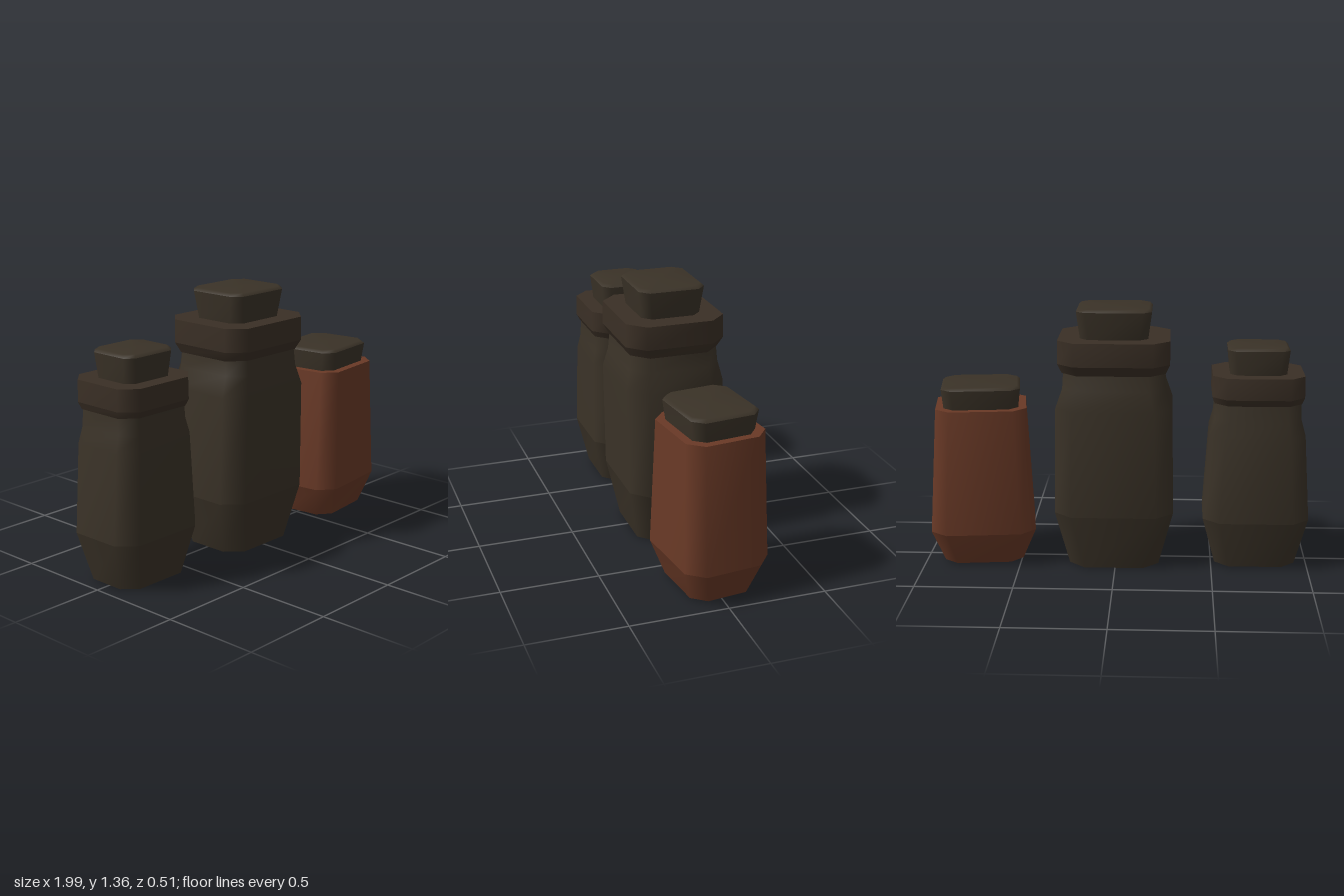
import * as THREE from 'three';
import { mergeGeometries } from 'three/addons/utils/BufferGeometryUtils.js';

// Chamfered rectangle, eight points, at height y
function octagon([y, hx, hz, c]) {
  const a = hx - c, b = hz - c;
  return [[hx, b], [a, hz], [-a, hz], [-hx, b], [-hx, -b], [-a, -hz], [a, -hz], [hx, -b]]
    .map(([x, z]) => [x, y, z]);
}

// Smooth loft through rings listed from bottom to top
function loft(rings) {
  const pos = rings.flatMap((r) => octagon(r).flat());
  const index = [];
  for (let r = 0; r < rings.length - 1; r++) {
    for (let i = 0; i < 8; i++) {
      const j = (i + 1) % 8;
      const a = r * 8 + i, b = r * 8 + j;
      index.push(a, a + 8, b, b, a + 8, b + 8);
    }
  }
  const g = new THREE.BufferGeometry();
  g.setAttribute('position', new THREE.Float32BufferAttribute(pos, 3));
  g.setIndex(index);
  g.computeVertexNormals();
  return g;
}

// Each section is smooth inside, with a hard edge where two sections meet
function part(name, material, sections) {
  const mesh = new THREE.Mesh(mergeGeometries(sections.map(loft)), material);
  mesh.name = name;
  return mesh;
}

const centre = (y) => [y, 0, 0, 0];

// Tapered stopper with a softened top edge
function stopper(material, y0, y1, bottom, top, c) {
  const low = [y0, ...bottom, c], high = [y1 - 0.015, ...top, c];
  return part('stopper', material, [
    [centre(y0), low],
    [low, high],
    [high, [y1, top[0] - 0.015, top[1] - 0.015, c], centre(y1)],
  ]);
}

// Bottle with a sloped foot, rounded shoulder, collar and stopper
function bottle(name, mats, { foot, belly, shoulder, neckLow, neck, collarLow, collar, collarTop, cork }) {
  const group = new THREE.Group();
  group.name = name;
  group.add(
    part('body', mats.dark, [
      [centre(foot[0]), foot],
      [foot, belly],
      [belly, shoulder, neckLow, neck],
    ]),
    part('collar', mats.collar, [
      [centre(collarLow[0]), collarLow],
      [collarLow, collar],
      [collar, collarTop],
      [collarTop, centre(collarTop[0])],
    ]),
    stopper(mats.dark, ...cork),
  );
  return group;
}

export function createModel() {
  const make = (name, color) => {
    const m = new THREE.MeshStandardMaterial({ color });
    m.name = name;
    return m;
  };
  const mats = {
    dark: make('dark brown', 0x3a3227),
    collar: make('collar brown', 0x3a2f25),
    red: make('red clay', 0x693926),
  };
  const model = new THREE.Group();
  model.name = 'bottleSet';

  // Tall middle bottle
  const tall = bottle('tallBottle', mats, {
    foot: [0, 0.233, 0.19, 0.08],
    belly: [0.29, 0.307, 0.247, 0.09],
    shoulder: [0.85, 0.297, 0.257, 0.09],
    neckLow: [0.95, 0.262, 0.235, 0.08],
    neck: [1.05, 0.256, 0.226, 0.08],
    collarLow: [1.03, 0.264, 0.23, 0.08],
    collar: [1.08, 0.285, 0.257, 0.085],
    collarTop: [1.2, 0.285, 0.255, 0.085],
    cork: [1.19, 1.355, [0.172, 0.152], [0.192, 0.171], 0.045],
  });
  tall.position.x = 0.008;

  // Medium bottle on the right
  const medium = bottle('mediumBottle', mats, {
    foot: [0.01, 0.208, 0.165, 0.07],
    belly: [0.26, 0.273, 0.22, 0.085],
    shoulder: [0.71, 0.244, 0.212, 0.08],
    neckLow: [0.79, 0.222, 0.195, 0.07],
    neck: [0.9, 0.217, 0.19, 0.07],
    collarLow: [0.875, 0.222, 0.195, 0.07],
    collar: [0.91, 0.234, 0.213, 0.075],
    collarTop: [1.02, 0.233, 0.211, 0.075],
    cork: [1.01, 1.16, [0.143, 0.127], [0.157, 0.14], 0.04],
  });
  medium.position.set(-0.727, 0, -0.004);

  // Short jar on the left, turned slightly
  const jar = new THREE.Group();
  jar.name = 'shortJar';
  const foot = [0.01, 0.205, 0.168, 0.065];
  const belly = [0.18, 0.272, 0.225, 0.08];
  const top = [0.835, 0.233, 0.208, 0.07];
  jar.add(
    part('body', mats.red, [
      [centre(foot[0]), foot],
      [foot, belly],
      [belly, top],
      [top, centre(top[0])],
    ]),
    stopper(mats.dark, 0.82, 0.95, [0.19, 0.163], [0.202, 0.177], 0.05),
  );
  jar.position.x = 0.707;
  jar.rotation.y = 0.118;

  model.add(tall, medium, jar);
  return model;
}
